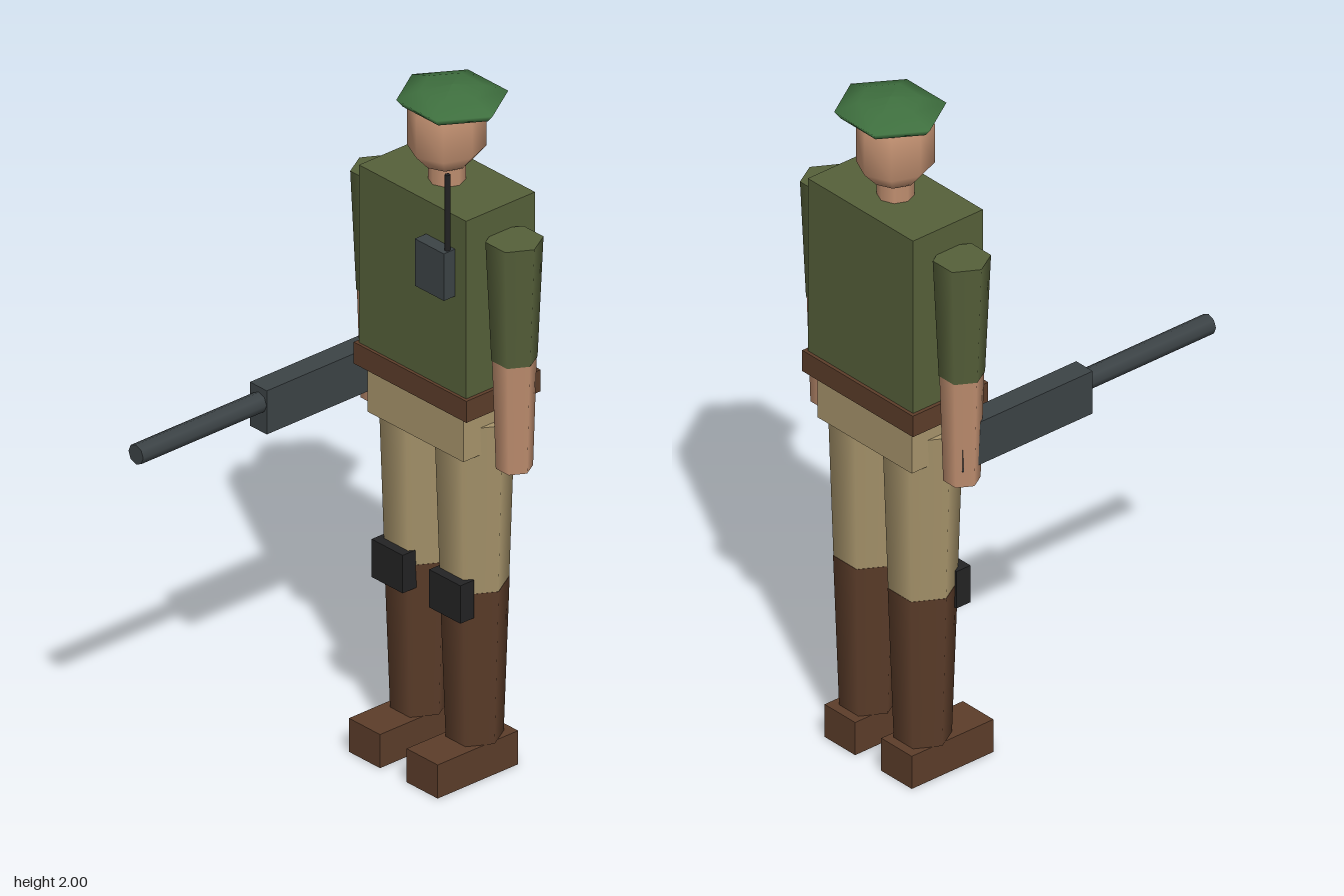
import * as THREE from 'three';

const mat = (name, color) => {
  const m = new THREE.MeshStandardMaterial({ color });
  m.name = name;
  return m;
};

export function createModel() {
  const model = new THREE.Group();
  model.name = 'soldier';
  const Z = -0.363; // the body stands behind the centre, the gun reaches forward

  const shirt = mat('olive shirt', 0x56603a);
  const khaki = mat('khaki trousers', 0xa8956c);
  const leather = mat('brown leather', 0x5c3d2a);
  const skin = mat('skin', 0xc08f70);
  const green = mat('beret green', 0x3f703f);
  const metal = mat('gunmetal', 0x3c4346);
  const black = mat('black rubber', 0x232324);

  const add = (name, geometry, material, x, y, z) => {
    const mesh = new THREE.Mesh(geometry, material);
    mesh.name = name;
    mesh.position.set(x, y, z);
    model.add(mesh);
    return mesh;
  };
  // box from its x centre, width, and y and z ranges
  const box = (name, material, x, w, y0, y1, z0, z1) =>
    add(name, new THREE.BoxGeometry(w, y1 - y0, z1 - z0), material, x, (y0 + y1) / 2, (z0 + z1) / 2);
  // tapered prism with corners pointing sideways
  const limb = (name, material, x, y0, y1, r0, r1, z = Z, sides = 6) =>
    add(name, new THREE.CylinderGeometry(r1, r0, y1 - y0, sides).rotateY(Math.PI / 2), material, x, (y0 + y1) / 2, z);
  const lathe = (points, sides, turn) =>
    new THREE.LatheGeometry(points.map(([r, y]) => new THREE.Vector2(r, y)), sides).rotateY(turn);

  // trunk
  box('torso', shirt, 0, 0.42, 1.18, 1.71, -0.485, -0.242);
  box('belt', leather, 0, 0.442, 1.117, 1.181, -0.495, -0.233);
  box('hips', khaki, 0, 0.376, 0.98, 1.12, -0.47, -0.252);

  // head and beret
  limb('neck', skin, 0, 1.70, 1.79, 0.05, 0.05, Z, 8);
  const head = add('head', lathe([[0, 1.745], [0.062, 1.765], [0.1, 1.81], [0.1, 1.925], [0.065, 1.965], [0, 1.975]], 8, 0), skin, 0, 0, Z);
  head.scale.z = 1.08;
  const beret = add('beret', lathe([[0, 1.945], [0.14, 1.945], [0.158, 1.966], [0.09, 1.989], [0, 2]], 6, Math.PI / 2), green, 0.021, 0, Z);
  beret.scale.z = 0.925;

  // mirrored limbs
  for (const [side, s] of [['left', 1], ['right', -1]]) {
    limb(side + 'Sleeve', shirt, s * 0.265, 1.28, 1.635, 0.062, 0.078);
    limb(side + 'Forearm', skin, s * 0.265, 0.957, 1.28, 0.05, 0.06);
    limb(side + 'Thigh', khaki, s * 0.109, 0.56, 1.06, 0.093, 0.109);
    limb(side + 'BootShaft', leather, s * 0.109, 0.1, 0.56, 0.078, 0.094);
    box(side + 'BootFoot', leather, s * 0.113, 0.122, 0, 0.1, -0.458, -0.174);
    box(side + 'KneePad', black, s * 0.113, 0.122, 0.492, 0.605, -0.302, -0.254);
  }

  // chest radio
  box('radio', metal, 0.11, 0.114, 1.47, 1.61, -0.245, -0.202);
  limb('radioAntenna', black, 0.157, 1.6, 1.835, 0.008, 0.008, -0.224);

  // gun held in the right hand
  box('gunBody', metal, -0.269, 0.066, 1.005, 1.135, -0.392, 0.06);
  add('gunBarrel', new THREE.CylinderGeometry(0.029, 0.029, 0.445, 8).rotateX(Math.PI / 2), metal, -0.266, 1.09, 0.2725);

  return model;
}
